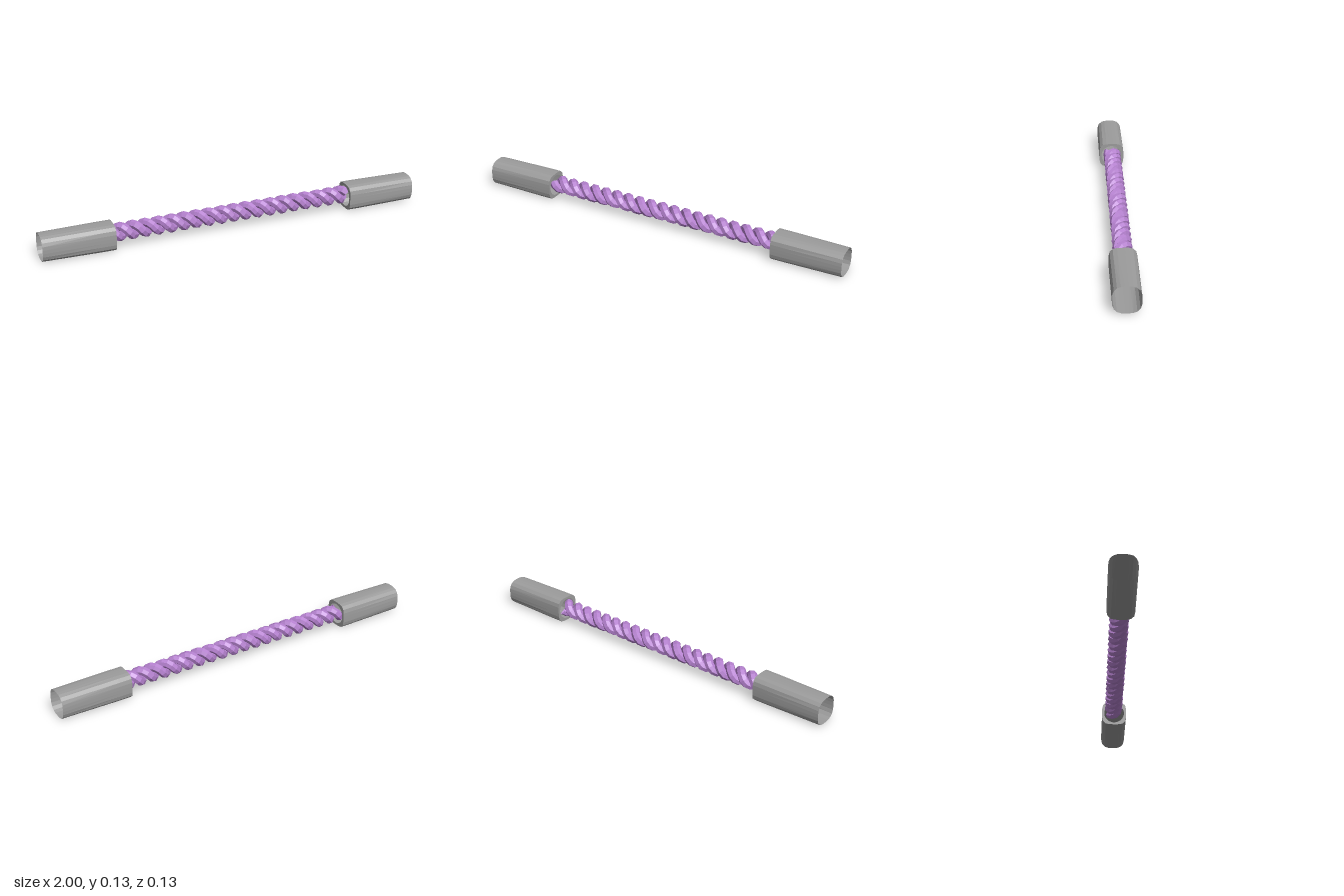
import * as THREE from 'three';

const purple = new THREE.MeshStandardMaterial({ color: 0xb682d0, flatShading: true, side: THREE.DoubleSide });
purple.name = 'purple cord';
const grey = new THREE.MeshStandardMaterial({ color: 0x9c9c9c, flatShading: true, side: THREE.DoubleSide });
grey.name = 'grey sleeve';

// Helical path of one strand along x
class Helix extends THREE.Curve {
  constructor(radius, halfLength, turns, phase) {
    super();
    Object.assign(this, { radius, halfLength, turns, phase });
  }
  getPoint(t, target = new THREE.Vector3()) {
    const a = this.phase - t * this.turns * Math.PI * 2;
    return target.set((t * 2 - 1) * this.halfLength, Math.sin(a) * this.radius, Math.cos(a) * this.radius);
  }
}

// Rounded-square shell: rows of [x, half width, squareness], joined in a loop
function sleeveGeometry(rows, sides = 24) {
  const pos = [], index = [];
  for (const [x, r, n] of rows) {
    for (let i = 0; i < sides; i++) {
      const a = ((i + 0.5) / sides) * Math.PI * 2;
      const s = Math.sin(a), c = Math.cos(a);
      const k = r / Math.pow(Math.abs(s) ** n + Math.abs(c) ** n, 1 / n);
      pos.push(x, k * s, k * c);
    }
  }
  for (let j = 0; j < rows.length - 1; j++) {
    for (let i = 0; i < sides; i++) {
      const a = j * sides + i, b = j * sides + ((i + 1) % sides);
      index.push(a, b, a + sides, b, b + sides, a + sides);
    }
  }
  const g = new THREE.BufferGeometry();
  g.setAttribute('position', new THREE.Float32BufferAttribute(pos, 3));
  g.setIndex(index);
  g.computeVertexNormals();
  return g;
}

export function createModel() {
  const model = new THREE.Group();
  model.name = 'twistedCord';

  // Two strands wound around each other
  const cord = new THREE.Group();
  cord.name = 'cord';
  cord.position.set(0, 0.075, -0.004);
  const turns = 9.5;
  for (let i = 0; i < 2; i++) {
    const path = new Helix(0.026, 0.635, turns, i * Math.PI + 0.6);
    const strand = new THREE.Mesh(new THREE.TubeGeometry(path, Math.round(turns * 10), 0.023, 7, false), purple);
    strand.name = 'strand' + (i + 1);
    cord.add(strand);
  }
  model.add(cord);

  // Hollow end sleeves: open outside, rimmed with a round hole inside
  const geometry = sleeveGeometry([
    [1, 0.0665, 2.9],
    [0.7, 0.0665, 3.9],
    [0.633, 0.0665, 3.9],
    [0.633, 0.055, 2],
  ]);
  for (const side of ['left', 'right']) {
    const sleeve = new THREE.Mesh(geometry, grey);
    sleeve.name = side + 'Sleeve';
    sleeve.position.y = 0.0665;
    if (side === 'right') sleeve.rotation.y = Math.PI;
    model.add(sleeve);
  }
  return model;
}
